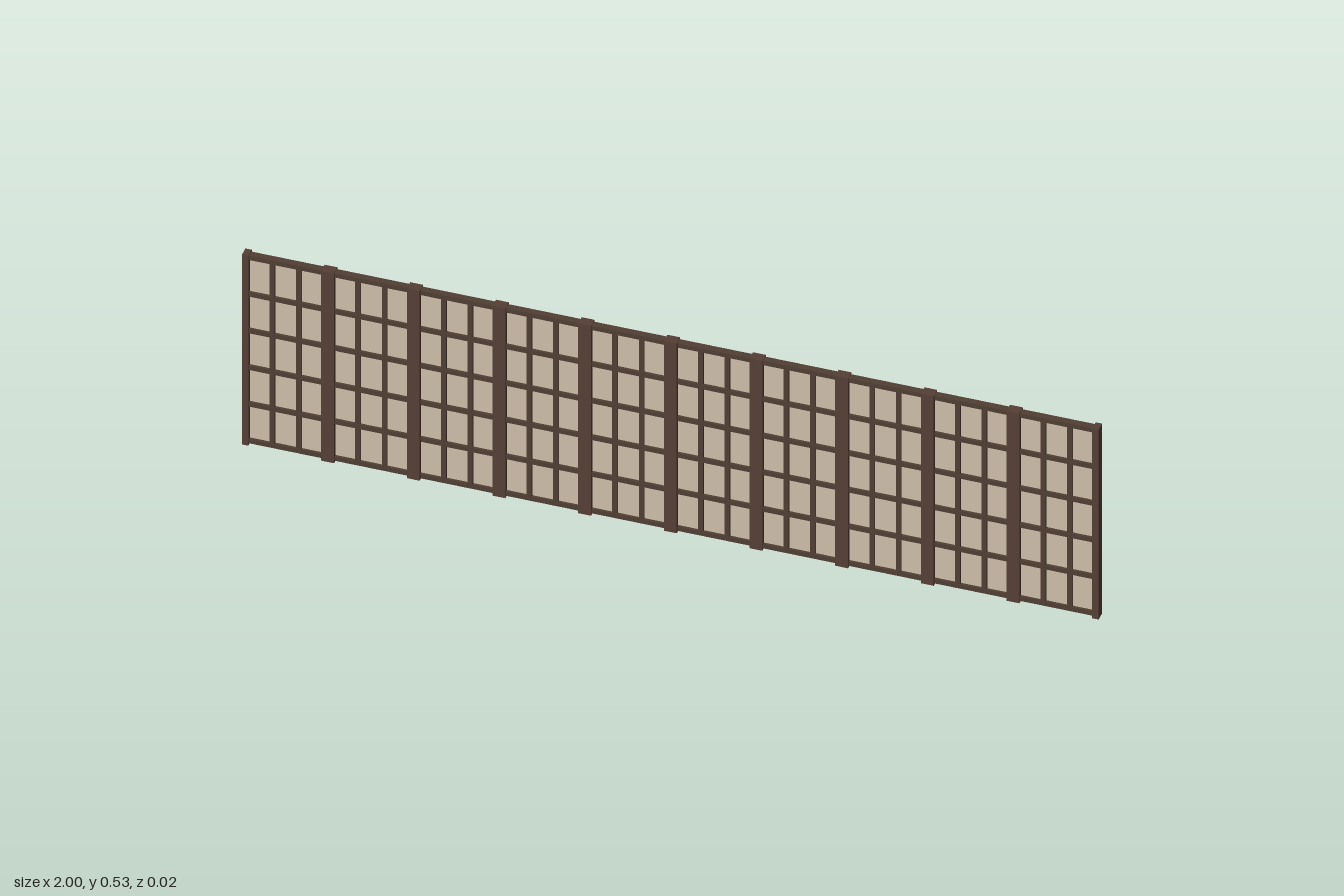
import * as THREE from 'three';

const HEIGHT = 0.53, BAYS = 10, BAY = 0.2, POST = 0.03;

export function createModel() {
  const group = new THREE.Group();
  group.name = 'latticeScreen';
  const postWood = new THREE.MeshStandardMaterial({ color: 0x553f35 });
  postWood.name = 'post wood';
  const latticeWood = new THREE.MeshStandardMaterial({ color: 0x513f34 });
  latticeWood.name = 'lattice wood';
  const paper = new THREE.MeshStandardMaterial({ color: 0xcdbda8 });
  paper.name = 'paper';

  const box = (name, material, w, h, d, x, y) => {
    const mesh = new THREE.Mesh(new THREE.BoxGeometry(w, h, d), material);
    mesh.name = name;
    mesh.position.set(x, y, 0);
    group.add(mesh);
  };

  // Posts between bays, half width at both ends
  for (let i = 0; i <= BAYS; i++) {
    const end = i === 0 ? 1 : i === BAYS ? -1 : 0;
    const x = -1 + i * BAY + end * POST / 4;
    box('post', postWood, end ? POST / 2 : POST, HEIGHT, 0.024, x, HEIGHT / 2);
  }

  for (let i = 0; i < BAYS; i++) {
    const x = -1 + (i + 0.5) * BAY;
    const clear = BAY - POST;

    // Translucent-style infill sheet
    box('paperPanel', paper, clear, HEIGHT - 0.02, 0.004, x, HEIGHT / 2);

    // Six horizontal rails per bay
    for (let r = 0; r < 6; r++) {
      box('rail', latticeWood, clear, 0.012, 0.016, x, 0.01 + r * (HEIGHT - 0.018) / 5);
    }

    // Two slender vertical bars per bay
    for (const side of [-1, 1]) {
      box('muntin', latticeWood, 0.012, HEIGHT - 0.016, 0.015, x + side * 0.031, HEIGHT / 2);
    }
  }
  return group;
}
